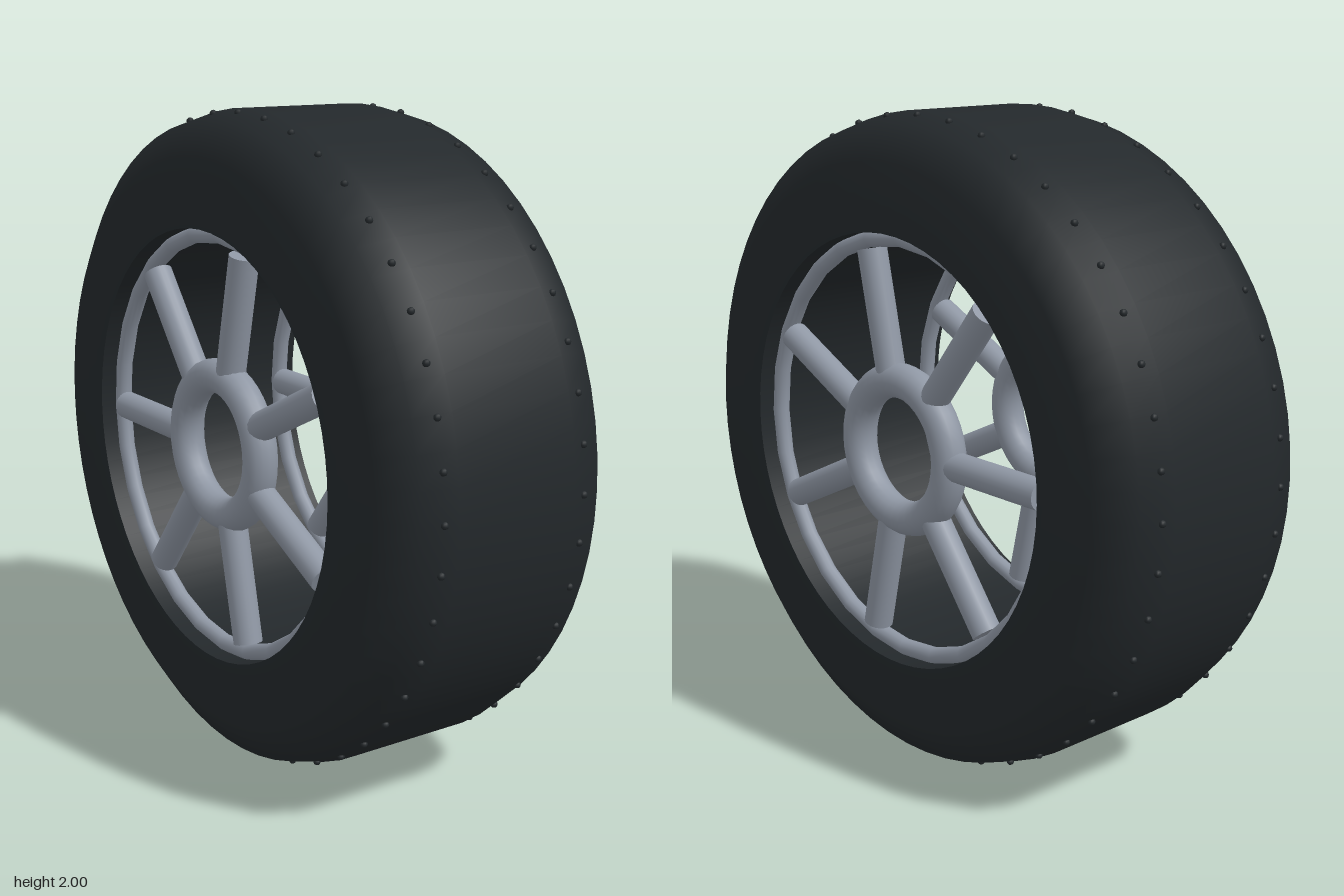
import * as THREE from 'three';

const rubber = new THREE.MeshStandardMaterial({ color: 0x23282b, side: THREE.DoubleSide });
const metal = new THREE.MeshStandardMaterial({ color: 0x8f97a4 });

function add(parent, name, geometry, material) {
  const mesh = new THREE.Mesh(geometry, material);
  mesh.name = name;
  parent.add(mesh);
  return mesh;
}

// Lathe from [axial, radius] pairs, with its axis along y
function lathe(pairs) {
  return new THREE.LatheGeometry(pairs.map(([a, r]) => new THREE.Vector2(r, a)), 64);
}

// Tyre: rounded outside, straight bore, and a row of studs on each shoulder
function createTyre() {
  const tyre = new THREE.Group();
  tyre.name = 'tyre';
  const half = [[0.2, 1], [0.31, 0.97], [0.38, 0.865], [0.38, 0.66]];
  const mirrored = half.map(([a, r]) => [-a, r]).reverse();
  add(tyre, 'tread', lathe([...mirrored, ...half]), rubber);
  add(tyre, 'bore', lathe([[0.38, 0.66], [-0.38, 0.66]]), rubber);

  const studGeometry = new THREE.SphereGeometry(0.011, 8, 6);
  const count = 44;
  for (const side of [-1, 1]) {
    for (let i = 0; i < count; i++) {
      const t = (i / count) * Math.PI * 2;
      add(tyre, 'stud', studGeometry, rubber)
        .position.set(0.989 * Math.cos(t), side * 0.242, 0.989 * Math.sin(t));
    }
  }
  tyre.rotation.z = -Math.PI / 2;
  return tyre;
}

// Spoked frame: hub ring, rim ring and seven round spokes, facing x
function createFrame(x) {
  const frame = new THREE.Group();
  frame.name = 'spokedFrame';
  add(frame, 'hub', new THREE.TorusGeometry(0.213, 0.053, 16, 40), metal).rotation.y = Math.PI / 2;
  add(frame, 'rim', new THREE.TorusGeometry(0.64, 0.026, 12, 28), metal).rotation.y = Math.PI / 2;

  const inner = 0.22, outer = 0.61;
  const spokeGeometry = new THREE.CylinderGeometry(0.045, 0.045, outer - inner, 20);
  spokeGeometry.translate(0, (inner + outer) / 2, 0);
  for (let i = 0; i < 7; i++) {
    // The first spoke points to the back
    add(frame, 'spoke', spokeGeometry, metal).rotation.x = -Math.PI / 2 + (i / 7) * Math.PI * 2;
  }
  frame.position.x = x;
  return frame;
}

export function createModel() {
  const model = new THREE.Group();
  model.name = 'wheel';
  model.add(createTyre(), createFrame(0.31), createFrame(-0.31));
  model.position.y = 1;
  const root = new THREE.Group();
  root.add(model);
  return root;
}
